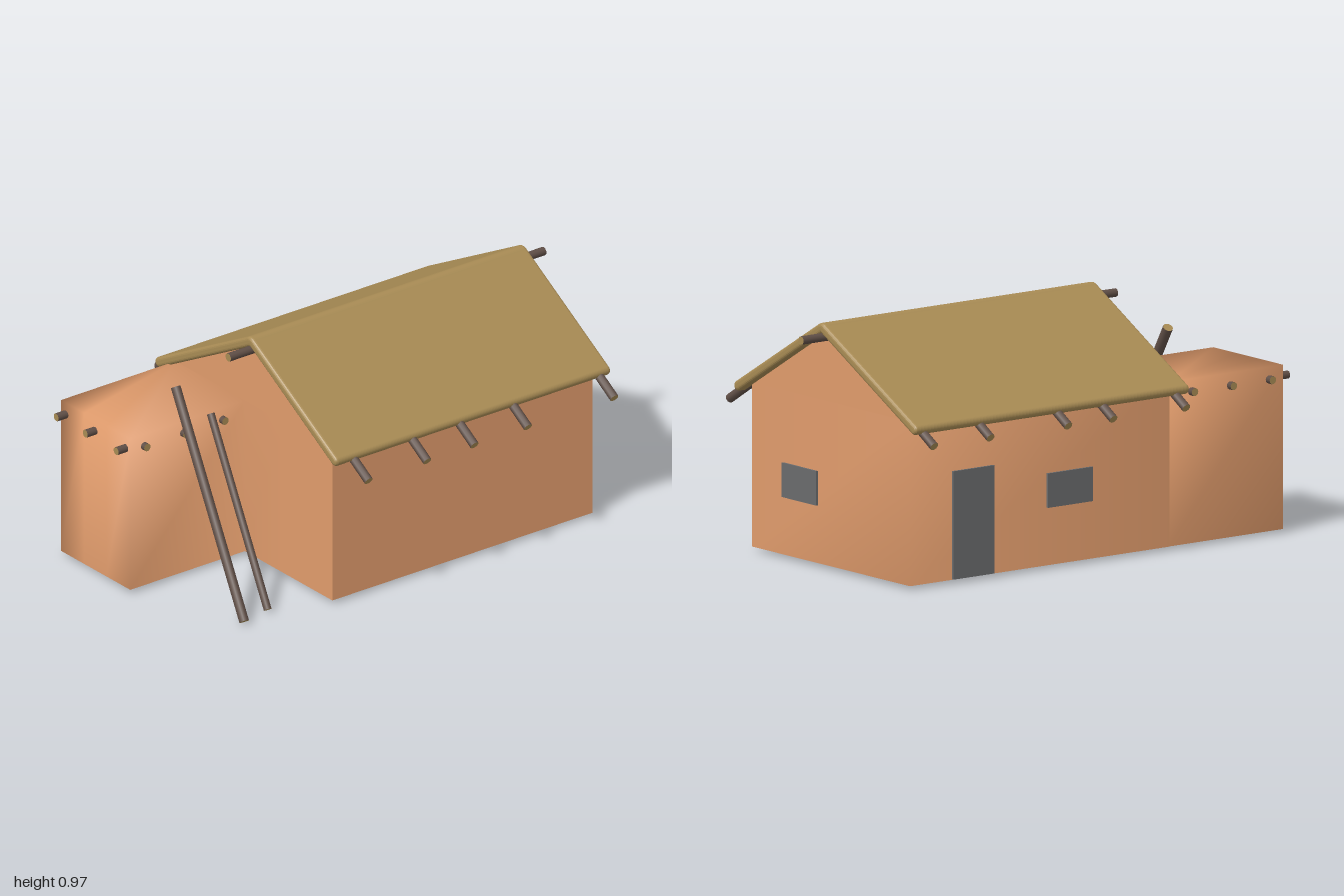
import * as THREE from 'three';

export function createModel() {
  const group = new THREE.Group();
  const mat = (name, color, side = THREE.FrontSide) => {
    const m = new THREE.MeshStandardMaterial({ color, side });
    m.name = name;
    return m;
  };
  const clay = mat('clay', 0xe19c6c, THREE.DoubleSide);
  const thatch = mat('thatch', 0xa88b54);
  const wood = mat('dark wood', 0x604f47);
  const panel = mat('grey panel', 0x6a6b6d);

  const add = (name, geometry, material) => {
    const mesh = new THREE.Mesh(geometry, material);
    mesh.name = name;
    group.add(mesh);
    return mesh;
  };

  // Log between two points, with pale cut ends
  const log = (name, a, b, r) => {
    const from = new THREE.Vector3(...a), to = new THREE.Vector3(...b);
    const dir = to.clone().sub(from);
    const mesh = add(name, new THREE.CylinderGeometry(r, r, dir.length(), 10), [wood, thatch, thatch]);
    mesh.position.copy(from).add(to).multiplyScalar(0.5);
    mesh.quaternion.setFromUnitVectors(new THREE.Vector3(0, 1, 0), dir.normalize());
  };

  // Upright wall along a floor path; shared corners shade softly.
  // Extra faces index the corners as 2i (foot) and 2i + 1 (top).
  const FOOT = 0.015, EAVE = 0.66;
  const wall = (name, path, extraFaces = []) => {
    const points = [], index = [];
    path.forEach(([x, z], i) => {
      points.push(x, FOOT, z, x, EAVE, z);
      if (i < path.length - 1) {
        const k = 2 * i;
        index.push(k, k + 2, k + 3, k, k + 3, k + 1);
      }
    });
    const geo = new THREE.BufferGeometry();
    geo.setAttribute('position', new THREE.Float32BufferAttribute(points, 3));
    geo.setIndex([...index, ...extraFaces]);
    geo.computeVertexNormals();
    add(name, geo, clay);
  };

  const left = 0.48, right = -0.51, front = 0.395, back = -0.87;
  wall('sideWall', [[left, front], [left, back]]);
  wall('backAndDoorWall', [[left, back], [right, back], [right, front]]);
  // Annex with flat top, running on into the front wall of the house
  wall('annexAndFrontWall',
    [[-0.507, front], [-0.505, 0.953], [-0.36, 0.953], [-0.22, 0.953], [-0.07, 0.953],
      [-0.07, front], [0.18, front], [left, front]],
    [1, 3, 5, 1, 5, 7, 1, 7, 9, 1, 9, 11]);

  // Gables
  const gable = new THREE.Shape([
    new THREE.Vector2(right, EAVE), new THREE.Vector2(left, EAVE), new THREE.Vector2(0.008, 0.945)]);
  add('frontGable', new THREE.ShapeGeometry(gable), clay).position.z = front;
  const backGable = new THREE.Shape([
    new THREE.Vector2(-left, EAVE), new THREE.Vector2(-right, EAVE), new THREE.Vector2(-0.008, 0.945)]);
  const backMesh = add('backGable', new THREE.ShapeGeometry(backGable), clay);
  backMesh.position.z = back;
  backMesh.rotation.y = Math.PI;

  // Thatched roof: thick chevron, open below, with round eaves and a soft ridge
  const r = 0.02, L = [-0.57, 0.641], A = [0.008, 0.952], R = [0.535, 0.641];
  const aL = Math.atan2(A[1] - L[1], A[0] - L[0]);
  const aR = Math.atan2(A[1] - R[1], R[0] - A[0]);
  const up = Math.PI / 2;
  const apexY = A[1] + r / Math.cos(aL);
  const roof = new THREE.Shape();
  roof.absarc(R[0], R[1], r, -up - aR, up - aR, false);
  roof.lineTo(A[0] + 0.025, apexY - 0.025 * Math.tan(aR));
  roof.quadraticCurveTo(A[0], apexY + 0.004, A[0] - 0.025, apexY - 0.025 * Math.tan(aL));
  roof.absarc(L[0], L[1], r, up + aL, up + aL + Math.PI, false);
  roof.lineTo(A[0], A[1] - r / Math.cos(aL));
  roof.closePath();
  const bevel = 0.014, z0 = -0.905, z1 = 0.435;
  const roofGeo = new THREE.ExtrudeGeometry(roof, {
    depth: z1 - z0 - 2 * bevel, curveSegments: 8,
    bevelThickness: bevel, bevelSize: bevel, bevelOffset: -bevel, bevelSegments: 4,
  });
  roofGeo.translate(0, 0, z0 + bevel);
  add('thatchedRoof', roofGeo, thatch);

  // Ridge pole and rafter tails
  log('ridgePole', [0.006, 0.914, -1], [0.006, 0.914, 0.535], 0.017);
  for (const z of [-0.855, -0.435, -0.175, 0.055, 0.34])
    log('leftRafter', [0.42, 0.703, z], [0.638, 0.57, z], 0.018);
  for (const z of [-0.855, -0.58, -0.2, 0.02, 0.375])
    log('rightRafter', [-0.44, 0.703, z], [-0.642, 0.582, z], 0.018);

  // Annex roof beams, crossing inside
  for (const z of [0.505, 0.695, 0.885])
    log('annexCrossBeam', [-0.53, 0.611, z], [-0.05, 0.611, z], 0.016);
  for (const x of [-0.475, -0.292, -0.098])
    log('annexLongBeam', [x, 0.611, 0.23], [x, 0.611, 1], 0.016);

  // Two poles leaning on the annex
  log('leaningPole', [-0.13, 0.78, 0.685], [0.414, 0.012, 0.773], 0.02);
  log('leaningPole', [-0.065, 0.655, 0.565], [0.39, 0.014, 0.64], 0.016);

  // Door and window panels on the outside of the walls
  const plate = (name, size, pos) =>
    add(name, new THREE.BoxGeometry(...size), panel).position.set(...pos);
  plate('door', [0.009, 0.425, 0.2], [right - 0.007, 0.23, -0.567]);
  plate('sideWindow', [0.009, 0.135, 0.22], [right - 0.007, 0.31, -0.095]);
  plate('backWindow', [0.215, 0.135, 0.009], [0.172, 0.31, back - 0.007]);

  return group;
}
